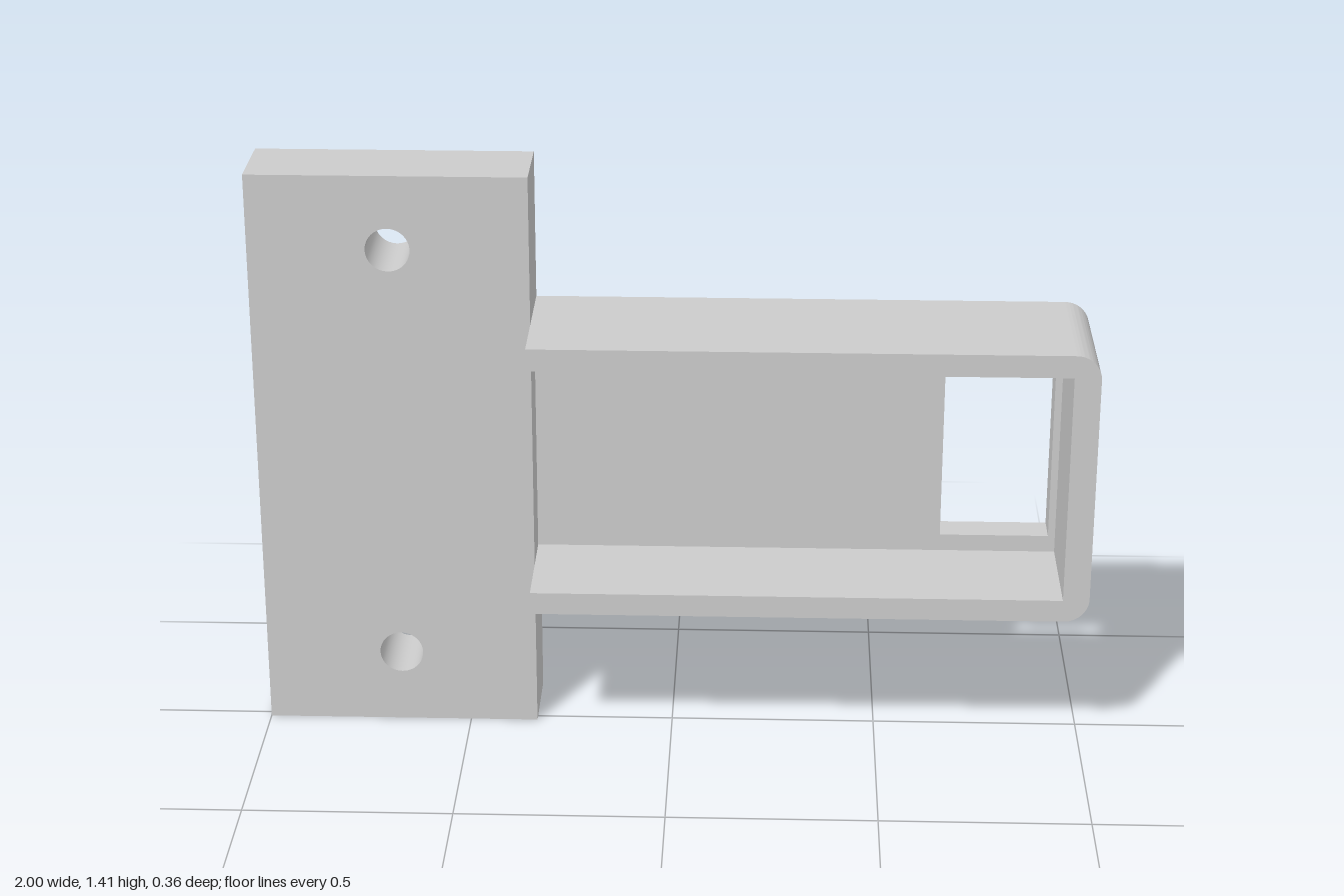
import * as THREE from 'three';
import { toCreasedNormals } from 'three/addons/utils/BufferGeometryUtils.js';

const BACK = -0.18, PLATE_FRONT = 0.02, FLOOR_FRONT = -0.1, FRONT = 0.18;
const JOIN = -0.335; // x where the tray meets the plate

const rectPoints = (x0, y0, x1, y1) => [[x0, y0], [x1, y0], [x1, y1], [x0, y1]].map(p => new THREE.Vector2(...p));

// Tray outline with rounded outer corners at the free end
function trayShape() {
  const r = 0.06, x1 = 1, y0 = 0.37, y1 = 1.05;
  const s = new THREE.Shape();
  s.moveTo(JOIN, y0);
  s.lineTo(x1 - r, y0);
  s.absarc(x1 - r, y0 + r, r, -Math.PI / 2, 0, false);
  s.lineTo(x1, y1 - r);
  s.absarc(x1 - r, y1 - r, r, 0, Math.PI / 2, false);
  s.lineTo(JOIN, y1);
  return s;
}

export function createModel() {
  const group = new THREE.Group();
  const material = new THREE.MeshStandardMaterial({ color: 0xcccccc });

  const addSlab = (name, shape, z0, z1) => {
    const geometry = new THREE.ExtrudeGeometry(shape, { depth: z1 - z0, bevelEnabled: false, curveSegments: 16 });
    geometry.translate(0, 0, z0);
    const mesh = new THREE.Mesh(toCreasedNormals(geometry, Math.PI / 6), material);
    mesh.name = name;
    group.add(mesh);
  };

  // Mounting plate with two screw holes
  const plate = new THREE.Shape(rectPoints(-1, 0, JOIN, 1.415));
  for (const y of [0.183, 1.233]) {
    plate.holes.push(new THREE.Path().absarc(-0.668, y, 0.053, 0, Math.PI * 2, true));
  }
  addSlab('mountingPlate', plate, BACK, PLATE_FRONT);

  // Tray floor with rectangular window
  const floor = trayShape();
  floor.holes.push(new THREE.Path(rectPoints(0.655, 0.467, 0.92, 0.952)));
  addSlab('trayFloor', floor, BACK, FLOOR_FRONT);

  // U-shaped rim: outer outline, then back along the square-cornered inside
  const rim = trayShape();
  rim.lineTo(JOIN, 0.995);
  rim.lineTo(0.937, 0.995);
  rim.lineTo(0.937, 0.425);
  rim.lineTo(JOIN, 0.425);
  rim.closePath();
  addSlab('trayRim', rim, FLOOR_FRONT, FRONT);

  return group;
}
